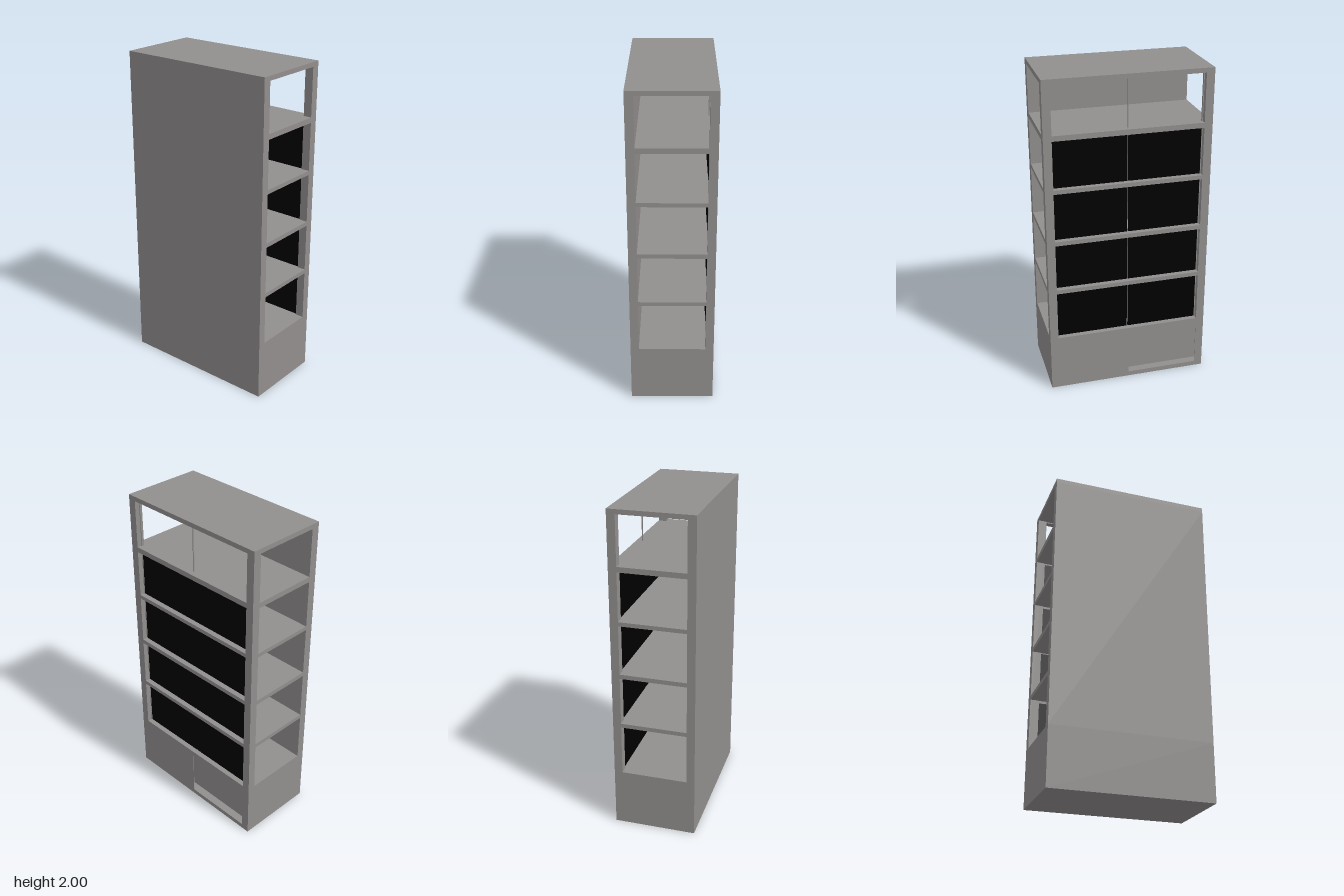
import * as THREE from 'three';

const grey = new THREE.MeshStandardMaterial({ color: 0x928e8e });
const black = new THREE.MeshStandardMaterial({ color: 0x000000 });

// Box given by its min and max on each axis
function box(parent, name, [x0, x1], [y0, y1], [z0, z1], material = grey) {
  const mesh = new THREE.Mesh(new THREE.BoxGeometry(x1 - x0, y1 - y0, z1 - z0), material);
  mesh.position.set((x0 + x1) / 2, (y0 + y1) / 2, (z0 + z1) / 2);
  mesh.name = name;
  parent.add(mesh);
}

export function createModel() {
  const cabinet = new THREE.Group();
  cabinet.name = 'cabinet';
  const X = 0.252, Z = 0.5;                // half width, half depth
  const innerX = 0.202, innerZ = 0.45;     // inside of the posts
  const baseTop = 0.36, roofBottom = 1.972;
  const shelves = [[0.672, 0.698], [0.995, 1.022], [1.325, 1.35], [1.645, 1.677]];

  // Plinth: solid core, floor and top boards, and a thin face with a hatch opening
  const base = new THREE.Group();
  base.name = 'base';
  cabinet.add(base);
  const skin = [innerX, X], sheet = [X - 0.003, X], hatch = [0.03, 0.33];
  box(base, 'baseCore', [-X, innerX], [0, baseTop], [-Z, Z]);
  box(base, 'baseFloor', skin, [0, hatch[0]], [-Z, Z]);
  box(base, 'baseTopBoard', skin, [hatch[1], baseTop], [-Z, Z]);
  box(base, 'baseFace', sheet, hatch, [0, Z]);
  box(base, 'baseFaceStrip', sheet, hatch, [-Z, -innerZ]);
  for (const s of [-1, 1]) {
    box(base, 'baseEnd', skin, hatch, s > 0 ? [Z - 0.003, Z] : [-Z, -Z + 0.003]);
  }

  // Carcass: closed side wall, corner posts, shelves and roof
  box(cabinet, 'sideWall', [-X, -innerX], [baseTop, roofBottom], [-Z, Z]);
  for (const s of [-1, 1]) {
    box(cabinet, 'cornerPost', skin, [baseTop, roofBottom], s > 0 ? [innerZ, Z] : [-Z, -innerZ]);
  }
  box(cabinet, 'roof', [-X, X], [roofBottom, 2], [-Z, Z]);
  for (const y of shelves) box(cabinet, 'shelf', [-innerX, X], y, [-Z, Z]);

  // Each bay: thin frame, then two dark panes, or a slim mullion in the open top bay
  const floors = [baseTop, ...shelves.map(s => s[1])];
  const ceilings = [...shelves.map(s => s[0]), roofBottom];
  const frameBottoms = [0.656, 0.989, 1.311, 1.636, 1.966];
  const depth = [0.207, 0.222], rim = innerZ - 0.005;
  floors.forEach((y0, i) => {
    const y1 = frameBottoms[i];
    const bay = new THREE.Group();
    bay.name = 'window';
    cabinet.add(bay);
    box(bay, 'frameTop', depth, [y1, ceilings[i]], [-innerZ, innerZ]);
    for (const s of [-1, 1]) {
      const span = (a, b) => (s > 0 ? [a, b] : [-b, -a]);
      box(bay, 'frameSide', depth, [y0, y1], span(rim, innerZ));
      if (i < shelves.length) box(bay, 'darkPane', [0.21, 0.219], [y0, y1], span(0.003, rim), black);
    }
    if (i === shelves.length) box(bay, 'mullion', [0.211, 0.218], [y0, y1], [-0.002, 0.002]);
  });
  return cabinet;
}
